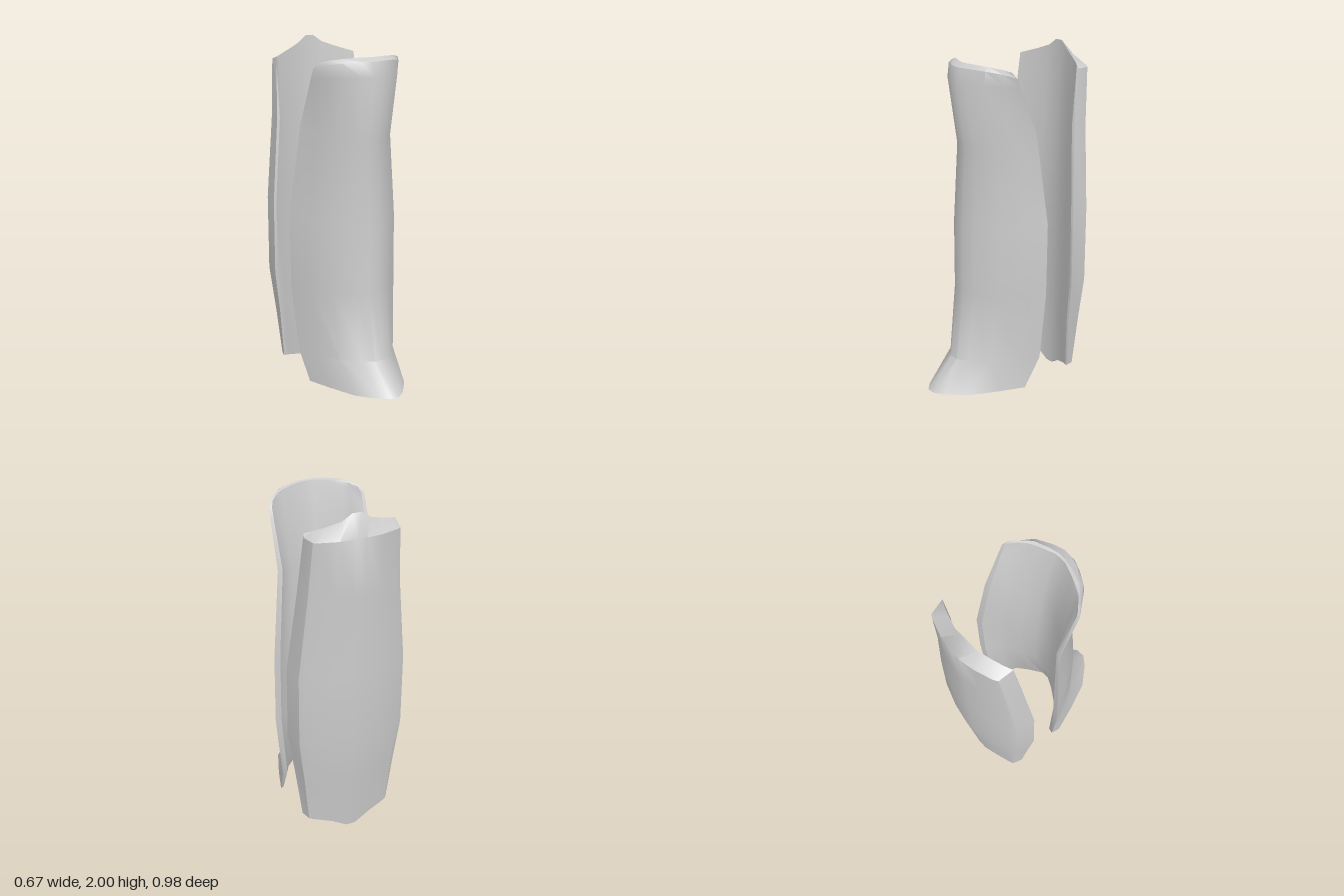
import * as THREE from 'three';
import { toCreasedNormals } from 'three/addons/utils/BufferGeometryUtils.js';

// Half sections, centre to edge: x as a share of half width, z as a share of the depth
const FRONT_OUTER = { x: [0.1, 0.3, 0.62, 0.84, 1], z: [0, 0.09, 0.32, 0.68, 1] };
const FRONT_INNER = { x: [0.13, 0.44, 0.65, 0.81, 1], z: [0, 0.23, 0.42, 0.6, 1] };
const BACK_OUTER = { x: [0.1, 0.45, 0.84, 0.93, 1], z: [0, 0.12, 0.35, 0.45, 1] };
const BACK_INNER = { x: [0.1, 0.31, 0.62, 0.85, 1], z: [0, 0.1, 0.45, 0.75, 1] };

// One mirrored line across a plate; row = [y centre, y edge, half width, z centre, z edge]
function sectionLine(section, [yc, ye, w, zc, ze], dir, yPower) {
  const half = section.x.map((fx, i) => [
    fx * w * dir,
    THREE.MathUtils.lerp(yc, ye, i === 0 ? 0 : fx ** yPower),
    THREE.MathUtils.lerp(zc, ze, section.z[i]),
  ]);
  const mirrored = half.map(([x, y, z]) => [-x, y, z]).reverse();
  return [...mirrored, ...half];
}

// Closed shell lofted from the top row to the bottom row; dir is 1 for +z plates, -1 for -z
function plateGeometry(outerSection, innerSection, outerRows, innerRows, dir, yPower) {
  const positions = [];
  const index = [];
  outerRows.forEach((row, r) => {
    const outer = sectionLine(outerSection, row, dir, yPower);
    const inner = sectionLine(innerSection, innerRows[r], dir, yPower).reverse();
    positions.push(...[...outer, ...inner].flat());
  });
  const n = outerSection.x.length * 4;
  const last = (outerRows.length - 1) * n;
  for (let r = 0; r < outerRows.length - 1; r++) {
    for (let j = 0; j < n; j++) {
      const k = (j + 1) % n;
      const a = r * n + j, b = r * n + k, c = a + n, d = b + n;
      index.push(a, c, d, a, d, b);
    }
  }
  // Top and bottom rims
  for (let j = 0; j < n / 2 - 1; j++) {
    const p = n - 1 - j, q = n - 2 - j;
    index.push(j, j + 1, q, j, q, p);
    index.push(last + j, last + q, last + j + 1, last + j, last + p, last + q);
  }
  const geometry = new THREE.BufferGeometry();
  geometry.setAttribute('position', new THREE.Float32BufferAttribute(positions, 3));
  geometry.setIndex(index);
  return toCreasedNormals(geometry, 0.7);
}

export function createModel() {
  const group = new THREE.Group();
  group.name = 'shinGuard';
  const material = new THREE.MeshStandardMaterial({ color: 0xcccccc });
  const add = (name, geometry) => {
    const mesh = new THREE.Mesh(geometry, material);
    mesh.name = name;
    group.add(mesh);
  };

  // Front plate: rolled top lip, bulging calf, flared toe
  add('frontPlate', plateGeometry(FRONT_OUTER, FRONT_INNER, [
    [1.94, 1.91, 0.26, 0.24, 0.11],
    [1.92, 1.88, 0.278, 0.28, 0.09],
    [1.84, 1.82, 0.28, 0.305, 0.065],
    [1.48, 1.56, 0.285, 0.255, -0.04],
    [1.02, 1.05, 0.335, 0.28, -0.085],
    [0.63, 0.63, 0.335, 0.28, -0.08],
    [0.23, 0.23, 0.295, 0.33, -0.07],
    [0.06, 0.055, 0.275, 0.49, 0.02],
  ], [
    [1.935, 1.905, 0.25, 0.228, 0.105],
    [1.91, 1.875, 0.262, 0.222, 0.086],
    [1.82, 1.81, 0.262, 0.2, 0.06],
    [1.48, 1.56, 0.255, 0.14, -0.035],
    [1.02, 1.05, 0.297, 0.105, -0.078],
    [0.63, 0.63, 0.297, 0.105, -0.073],
    [0.23, 0.23, 0.262, 0.17, -0.06],
    [0.06, 0.055, 0.255, 0.31, 0.03],
  ], 1, 4));

  // Back plate: peaked top rim, pointed bottom
  add('backPlate', plateGeometry(BACK_OUTER, BACK_INNER, [
    [1.89, 1.88, 0.26, -0.49, -0.345],
    [1.56, 1.56, 0.283, -0.483, -0.305],
    [1.08, 1.08, 0.335, -0.48, -0.268],
    [0.65, 0.65, 0.335, -0.477, -0.267],
    [0.38, 0.4, 0.3, -0.445, -0.28],
    [0.01, 0.1, 0.265, -0.402, -0.302],
  ], [
    [2.0, 1.9, 0.255, -0.417, -0.337],
    [1.56, 1.56, 0.268, -0.393, -0.3],
    [1.08, 1.08, 0.32, -0.375, -0.265],
    [0.65, 0.65, 0.32, -0.375, -0.265],
    [0.38, 0.4, 0.288, -0.376, -0.276],
    [0.003, 0.1, 0.255, -0.382, -0.3],
  ], -1, 0.8));

  return group;
}
